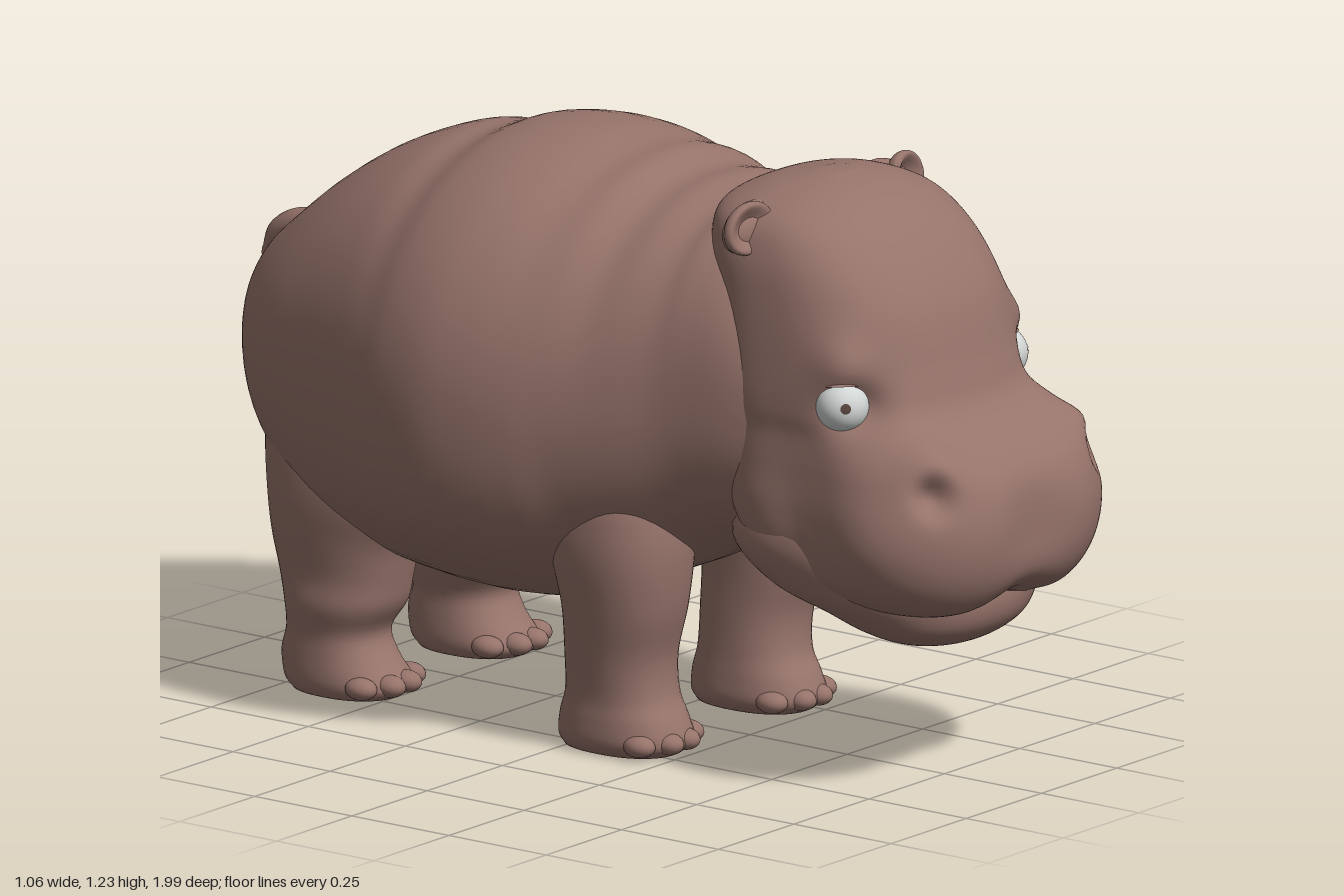
import * as THREE from 'three';

const skin = new THREE.MeshStandardMaterial({ color: 0x96736a });
skin.name = 'brown skin';
const eyeWhite = new THREE.MeshStandardMaterial({ color: 0xd2d6d5 });
eyeWhite.name = 'pale eye';
const pupilDark = new THREE.MeshStandardMaterial({ color: 0x5a4540 });
pupilDark.name = 'dark pupil';

// Smooth loft through rows of [s, aMin, aMax, halfWidth, exponent, centreX].
// axis 'z': s is z (front to back) and a is y; axis 'y': s is y (bottom to top) and a is z.
function loft(rows, axis, rings, segs, deform) {
  const size = rows[0].length;
  const spline = new THREE.CubicInterpolant(rows.map((_, i) => i), rows.flat(), size, new Float32Array(size));
  const pos = [], index = [], v = new THREE.Vector3();
  const put = (x, a, s) => {
    if (axis === 'z') v.set(x, a, s); else v.set(x, s, a);
    if (deform) deform(v);
    pos.push(v.x, v.y, v.z);
  };
  const signedPow = (c, p) => Math.sign(c) * Math.abs(c) ** p;
  for (let i = 0; i <= rings; i++) {
    const [s, lo, hi, w, n, cx = 0] = spline.evaluate(i / rings * (rows.length - 1));
    for (let j = 0; j < segs; j++) {
      const t = j / segs * Math.PI * 2;
      put(cx + w * signedPow(Math.sin(t), 2 / n), (lo + hi) / 2 + (hi - lo) / 2 * signedPow(Math.cos(t), 2 / n), s);
    }
  }
  for (const r of [rows[0], rows[rows.length - 1]]) put(r[5] || 0, (r[1] + r[2]) / 2, r[0]);
  const first = (rings + 1) * segs, last = rings * segs;
  for (let j = 0; j < segs; j++) {
    const k = (j + 1) % segs;
    for (let i = 0; i < rings; i++) {
      const a = i * segs + j, b = i * segs + k;
      index.push(a, b, a + segs, b, b + segs, a + segs);
    }
    index.push(first, k, j, first + 1, last + j, last + k);
  }
  const g = new THREE.BufferGeometry();
  g.setAttribute('position', new THREE.Float32BufferAttribute(pos, 3));
  g.setIndex(index);
  g.computeVertexNormals();
  return g;
}

const bell = (x, centre, r) => Math.exp(-(((x - centre) / r) ** 2));

// Soft push around a point, the same on both sides of the body
function push(v, [cx, cy, cz], r, [dx, dy, dz]) {
  const d = bell(Math.abs(v.x), cx, r) * bell(v.y, cy, r) * bell(v.z, cz, r);
  v.x += Math.sign(v.x) * dx * d;
  v.y += dy * d;
  v.z += dz * d;
}

function shapeBody(v) {
  // Full lower belly, shallow cleft in the rump
  v.x *= 1 + 0.05 * bell(v.y, 0.45, 0.15) * bell(v.z, -0.25, 0.4);
  v.z += 0.03 * bell(v.x, 0, 0.06) * bell(v.y, 0.52, 0.17) * bell(v.z, -0.9, 0.12);
}

function shapeHead(v) {
  // Wide muzzle, narrow cheeks
  v.x *= 1 + 0.07 * bell(v.z, 0.83, 0.12) * bell(v.y, 0.56, 0.13);
  v.x *= 1 - 0.05 * bell(v.z, 0.62, 0.09) * bell(v.y, 0.6, 0.16);
  push(v, [0, 0.56, 1], 0.1, [0, 0, -0.022]);
  push(v, [0, 0.385, 0.92], 0.1, [0, 0.035, 0]);
  // Nostrils with raised rims
  push(v, [0.24, 0.72, 0.91], 0.08, [0.01, 0.025, 0.02]);
  push(v, [0.27, 0.67, 0.94], 0.038, [-0.025, -0.01, -0.04]);
  // Brows and eye sockets
  push(v, [0.28, 0.9, 0.7], 0.06, [0.018, 0.005, 0.018]);
  push(v, [0.27, 0.82, 0.74], 0.055, [-0.025, 0, -0.025]);
}

export function createModel() {
  const model = new THREE.Group();
  const add = (name, geometry, material = skin, parent = model) => {
    const m = new THREE.Mesh(geometry, material);
    m.name = name;
    parent.add(m);
    return m;
  };

  add('body', loft([
    [0.52, 0.48, 1.0, 0.293, 2.6], [0.42, 0.455, 1.13, 0.325, 2.5], [0.33, 0.43, 1.165, 0.347, 2.4],
    [0.27, 0.405, 1.16, 0.365, 2.3], [0.2, 0.37, 1.173, 0.395, 2.2], [0.13, 0.34, 1.172, 0.425, 2.1],
    [0.06, 0.31, 1.2, 0.457, 2.05], [-0.01, 0.28, 1.203, 0.488, 2.05], [-0.1, 0.25, 1.222, 0.515, 2.05],
    [-0.2, 0.24, 1.226, 0.53, 2.05], [-0.3, 0.24, 1.213, 0.52, 2.05], [-0.38, 0.245, 1.182, 0.497, 2.05],
    [-0.47, 0.25, 1.172, 0.46, 2.05], [-0.6, 0.27, 1.12, 0.408, 2.1], [-0.72, 0.33, 1.045, 0.358, 2.1],
    [-0.82, 0.42, 0.965, 0.295, 2.1], [-0.89, 0.53, 0.905, 0.215, 2.1], [-0.925, 0.62, 0.85, 0.135, 2.1],
    [-0.935, 0.69, 0.78, 0.05, 2],
  ], 'z', 90, 72, shapeBody));

  add('head', loft([
    [0.375, 0.72, 0.9, 0.14, 2.4], [0.4, 0.6, 0.945, 0.25, 2.6], [0.45, 0.45, 0.98, 0.31, 2.9],
    [0.52, 0.38, 1.0, 0.333, 3.1], [0.6, 0.34, 1.0, 0.335, 3.2], [0.68, 0.32, 0.97, 0.325, 3.1],
    [0.75, 0.3, 0.895, 0.315, 2.9], [0.8, 0.29, 0.845, 0.315, 2.7], [0.87, 0.28, 0.82, 0.31, 2.6],
    [1.0, 0.27, 0.78, 0.295, 2.6], [1.1, 0.26, 0.715, 0.275, 2.6], [1.17, 0.27, 0.64, 0.235, 2.5],
    [1.21, 0.34, 0.57, 0.15, 2.2], [1.23, 0.44, 0.5, 0.04, 2],
  ], 'y', 90, 112, shapeHead));

  add('lowerJaw', loft([
    [0.285, 0.72, 0.78, 0.04, 2.1], [0.3, 0.66, 0.835, 0.13, 2.1], [0.33, 0.6, 0.875, 0.2, 2.2],
    [0.37, 0.52, 0.893, 0.25, 2.2], [0.42, 0.4, 0.89, 0.297, 2.3], [0.5, 0.32, 0.86, 0.325, 2.3],
    [0.58, 0.36, 0.8, 0.305, 2.3], [0.66, 0.42, 0.74, 0.24, 2.2],
  ], 'y', 36, 64));

  const frontLeg = [
    [0.0, -0.035, 0.225, 0.09, 0.22], [0.025, -0.045, 0.25, 0.107, 0.22], [0.07, -0.04, 0.235, 0.106, 0.22],
    [0.12, -0.025, 0.21, 0.103, 0.22], [0.2, -0.02, 0.207, 0.108, 0.225], [0.3, -0.02, 0.235, 0.118, 0.232],
    [0.4, -0.04, 0.25, 0.13, 0.235], [0.48, -0.05, 0.25, 0.135, 0.23], [0.56, -0.04, 0.235, 0.13, 0.22],
    [0.7, 0.0, 0.19, 0.09, 0.2],
  ];
  const hindLeg = [
    [0.0, -0.74, -0.5, 0.09, 0.21], [0.025, -0.76, -0.475, 0.102, 0.21], [0.08, -0.765, -0.52, 0.1, 0.21],
    [0.13, -0.75, -0.54, 0.1, 0.21], [0.19, -0.755, -0.505, 0.117, 0.205], [0.25, -0.772, -0.49, 0.117, 0.202],
    [0.33, -0.79, -0.47, 0.128, 0.202], [0.42, -0.805, -0.42, 0.143, 0.195], [0.52, -0.82, -0.4, 0.15, 0.18],
    [0.62, -0.82, -0.42, 0.14, 0.165], [0.75, -0.78, -0.48, 0.09, 0.15],
  ];

  for (const side of [1, -1]) {
    const label = side > 0 ? 'left' : 'right';

    // Legs with four small toes each
    for (const [name, rows, toeZ] of [['FrontLeg', frontLeg, 0.234], ['HindLeg', hindLeg, -0.49]]) {
      const leg = new THREE.Group();
      leg.name = label + name;
      model.add(leg);
      add('leg', loft(rows.map(([y, a, b, w, cx]) => [y, a, b, w, 2.3, cx * side]), 'y', 40, 40), skin, leg);
      for (let k = 0; k < 4; k++) {
        const off = k - 1.5;
        const toe = add('toe', new THREE.SphereGeometry(1, 16, 12), skin, leg);
        toe.scale.set(0.029, 0.023, 0.036);
        toe.position.set(side * rows[1][4] + off * 0.054, 0.03, toeZ - off * off * 0.016);
      }
    }

    // Broad, shallow cupped ear on a short root
    const earShape = new THREE.SphereGeometry(1, 32, 24);
    const p = earShape.attributes.position;
    for (let i = 0; i < p.count; i++) {
      const x = p.getX(i), y = p.getY(i), z = p.getZ(i);
      if (z > 0) p.setZ(i, z * (1 - 1.4 * (1 - x * x - y * y)));
    }
    earShape.computeVertexNormals();
    const ear = add(label + 'Ear', earShape);
    ear.scale.set(0.064, 0.052, 0.034);
    ear.position.set(side * 0.262, 1.155, 0.45);
    ear.rotation.set(-0.1, side * 0.2, side * -0.4);
    const root = add(label + 'EarRoot', new THREE.SphereGeometry(1, 20, 16));
    root.scale.set(0.08, 0.05, 0.04);
    root.position.set(side * 0.22, 1.145, 0.42);
    root.rotation.z = side * -0.25;

    // Eye, pupil and upper lid
    const eye = new THREE.Group();
    eye.name = label + 'Eye';
    eye.position.set(side * 0.264, 0.822, 0.692);
    model.add(eye);
    add('eyeball', new THREE.SphereGeometry(0.055, 28, 20), eyeWhite, eye);
    const pupil = add('pupil', new THREE.SphereGeometry(0.056, 12, 4, 0, Math.PI * 2, 0, 0.2), pupilDark, eye);
    pupil.quaternion.setFromUnitVectors(new THREE.Vector3(0, 1, 0), new THREE.Vector3(side * 0.7, 0.12, 0.7).normalize());
    const lid = add('upperLid', new THREE.SphereGeometry(0.06, 28, 10, 0, Math.PI * 2, 0, 0.85), skin, eye);
    lid.rotation.set(-0.15, 0, side * 0.15);
  }

  // Short drooping tail growing out of the rump
  const path = new THREE.CatmullRomCurve3([[0.87, -0.8], [0.88, -0.9], [0.86, -0.95], [0.818, -0.97]]
    .map(([y, z]) => new THREE.Vector3(0, y, z)));
  const tail = new THREE.TubeGeometry(path, 20, 1, 16);
  const tp = tail.attributes.position, v = new THREE.Vector3();
  for (let i = 0; i < tp.count; i++) {
    const u = Math.floor(i / 17) / 20, c = path.getPointAt(u);
    v.fromBufferAttribute(tp, i).sub(c).multiplyScalar(0.055 - 0.026 * u).add(c);
    tp.setXYZ(i, v.x, v.y, v.z);
  }
  tail.computeVertexNormals();
  add('tail', tail);
  const tip = add('tailTip', new THREE.SphereGeometry(0.03, 16, 12));
  tip.position.set(0, 0.818, -0.97);

  return model;
}
